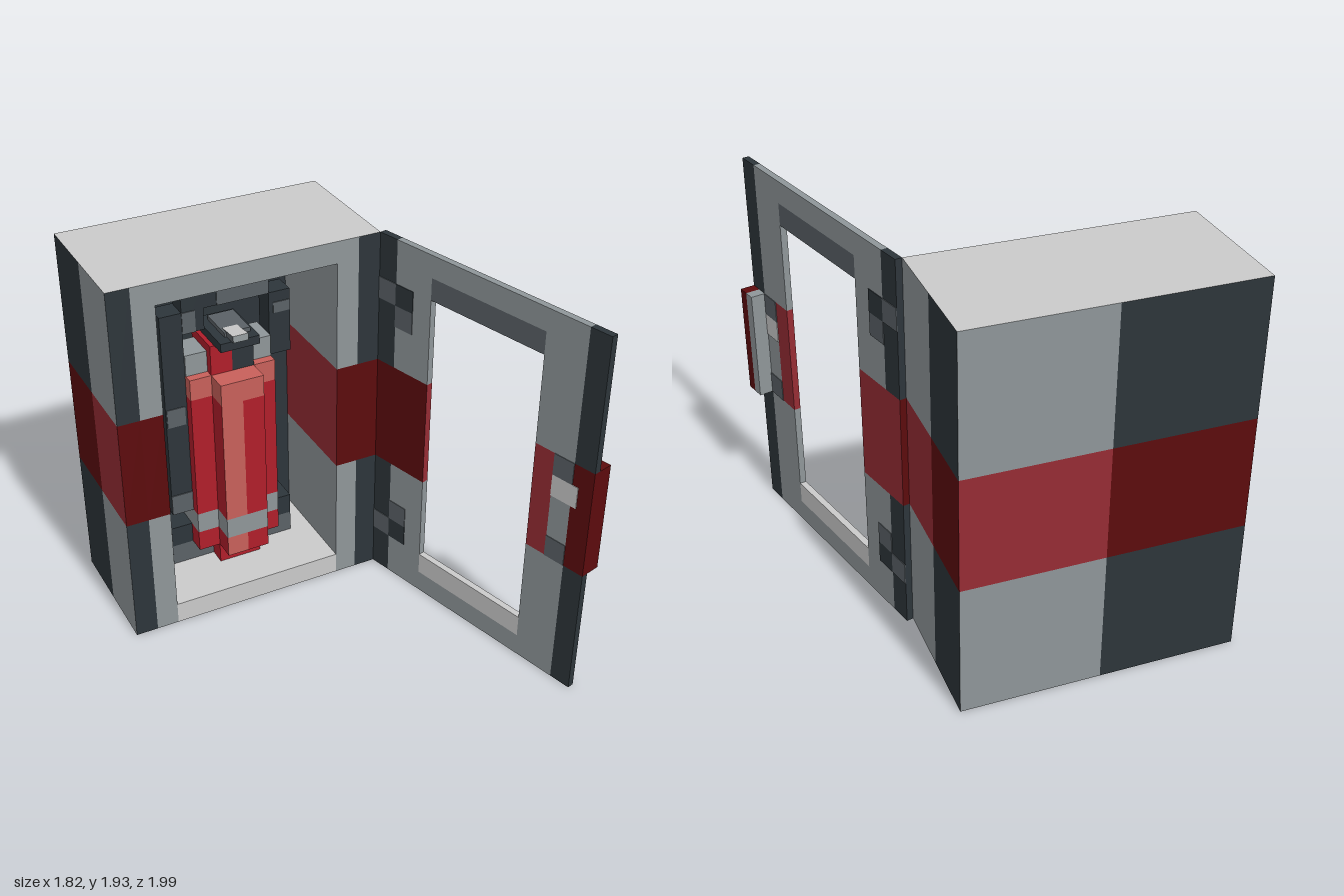
import * as THREE from 'three';

const U = 0.11335; // one modelling unit

const mat = (name, color) => {
  const m = new THREE.MeshStandardMaterial({ color });
  m.name = name;
  return m;
};

export function createModel() {
  const root = new THREE.Group();
  root.name = 'extinguisherCabinet';
  const G = mat('steelGrey', 0x8f9699), D = mat('darkSlate', 0x2d353a), M = mat('midGrey', 0x5a6166);
  const W = mat('paleGrey', 0xcacaca), R = mat('stripeRed', 0x962c34), K = mat('deepRed', 0x5c0b0d);
  const E = mat('bottleRed', 0xb01e2a), S = mat('highlightRed', 0xc8605a);

  // Box from its limits in units; m is one material or [+x,-x,+y,-y,+z,-z]
  const box = (parent, name, m, x0, x1, y0, y1, z0, z1) => {
    const g = new THREE.BoxGeometry((x1 - x0) * U, (y1 - y0) * U, (z1 - z0) * U);
    const mesh = new THREE.Mesh(g, m);
    mesh.position.set((x0 + x1) / 2 * U, (y0 + y1) / 2 * U, (z0 + z1) / 2 * U);
    mesh.name = name;
    parent.add(mesh);
    return mesh;
  };
  const group = (name, parent = root) => {
    const g = new THREE.Group();
    g.name = name;
    parent.add(g);
    return g;
  };

  // Cabinet shell: x 0..12, y 0..17, z 0..6, in three height bands
  const cabinet = group('cabinet');
  cabinet.position.set(-0.907, 0, -1);
  const bands = [[0, 6, false], [6, 11, true], [11, 17, false]];
  for (const [a, b, stripe] of bands) {
    const l = stripe ? R : G, d = stripe ? K : D, f = stripe ? K : G;
    box(cabinet, 'rightPostOuter', [l, l, W, W, d, l], 0, 1, a, b, 3, 6);
    box(cabinet, 'rightPostInner', [l, l, W, W, f, l], 1, 2, a, b, 3, 6);
    box(cabinet, 'rightWallRear', [l, d, W, W, l, d], 0, 2, a, b, 0, 3);
    box(cabinet, 'backPanelRight', [d, d, W, W, D, d], 2, 6, a, b, 0, 1);
    box(cabinet, 'backPanelLeft', [l, l, W, W, D, l], 6, 10, a, b, 0, 1);
    box(cabinet, 'leftPostInner', [l, l, W, W, f, l], 10, 11, a, b, 3, 6);
    box(cabinet, 'leftPostOuter', [l, l, W, W, d, l], 11, 12, a, b, 3, 6);
    box(cabinet, 'leftWallRear', [d, l, W, W, l, l], 10, 12, a, b, 0, 3);
  }
  box(cabinet, 'floor', W, 2, 10, 0, 1, 1, 6);
  box(cabinet, 'lintel', [G, G, W, G, G, G], 2, 10, 16, 17, 1, 6);

  // Extinguisher: plus-shaped bottle centred at x 6, z 3
  const bottle = group('extinguisher', cabinet);
  const layers = [[2, 3, E], [3, 4, G], [4, 10, E], [10, 11, S]];
  for (const [a, b, m] of layers) {
    const hi = m === E ? S : m;
    box(bottle, 'bottleSideLobes', m, 4, 8, a, b, 2, 4);
    box(bottle, 'bottleHighlight', [m, m, m, m, hi, m], 5, 6, a, b, 1.02, 5);
    box(bottle, 'bottleFront', m, 6, 7, a, b, 1.02, 5);
  }
  box(bottle, 'foot', E, 5, 7, 1, 2, 2, 4);
  box(bottle, 'collar', G, 4, 8, 11, 12, 2.2, 3.6);
  box(bottle, 'neckRed', E, 5, 6, 11, 12.4, 2, 4);
  box(bottle, 'neckDark', D, 6, 7, 11, 12.4, 2, 4);
  // Lever and grip
  box(bottle, 'grip', D, 5.2, 7, 12.4, 12.8, 2, 4.7);
  box(bottle, 'leverBase', M, 5.6, 6.8, 12.8, 13, 2.4, 4.2);
  const lever = box(bottle, 'lever', [M, M, W, M, G, M], 5.7, 6.4, 12.7, 13, 2.6, 4.9);
  lever.rotation.x = -0.12;

  // Hose arching over the bottle
  const hose = group('hose', cabinet);
  box(hose, 'hoseLong', D, 3, 4, 4, 14, 2.5, 3.5);
  box(hose, 'hoseShoulder', D, 4, 5, 13, 15, 2.5, 3.5);
  box(hose, 'hoseTop', D, 5, 8, 14, 15, 2.5, 3.5);
  box(hose, 'hoseShort', D, 8, 9, 11, 14, 2.5, 3.5);
  const glints = [[3, 4, 4, 5], [3.05, 3.9, 8.6, 9.5], [4, 4.6, 13, 14], [5.6, 8, 14, 15], [8.2, 9, 13, 13.5]];
  for (const [a, b, c, d] of glints) box(hose, 'hoseGlint', M, a, b, c, d, 3.5, 3.54);

  // Stand behind the foot
  box(cabinet, 'standLower', M, 3, 9, 1, 2, 1, 3.2);
  box(cabinet, 'standUpper', D, 3, 9, 2, 3, 1, 3.2);

  // Open door: local x runs from hinge to free edge, local -z is the outside
  const door = group('door');
  door.position.set(0.453, 0, -0.32);
  door.rotation.y = -THREE.MathUtils.degToRad(75);
  const T = 0.3;
  for (const [a, b, stripe] of bands) {
    const l = stripe ? R : G, d = stripe ? K : D;
    const inner = stripe ? K : G;
    box(door, 'hingeStile', [d, d, D, D, d, stripe ? R : D], 0, 1, a, b, -T, 0);
    box(door, 'hingeRail', [l, l, G, G, inner, l], 1, 3, a, b, -T, 0);
    box(door, 'latchRailInner', l, 9, 10, a, b, -T, 0);
    box(door, 'latchRailOuter', G, 10, 11, a, b, -T, 0);
    box(door, 'latchStile', d, 11, 12, a, b, -T, 0);
  }
  box(door, 'bottomRail', G, 3, 9, 0, 1, -T, 0);
  box(door, 'windowSill', W, 3, 9, 1, 2, -T, 0);
  box(door, 'windowHead', M, 3, 9, 15, 16, -T, 0);
  box(door, 'topRail', G, 3, 9, 16, 17, -T, 0);

  // Painted hinges on both door faces
  const paint = (name, m, a, b, c, d) => {
    box(door, name, m, a, b, c, d, -T - 0.03, -T);
    box(door, name, m, a, b, c, d, 0, 0.03);
  };
  for (const y of [2, 14]) {
    const flip = y === 14 ? 1 : 0;
    paint('hingeLeaf', M, 0, 1, y - 1 + 1 - flip + flip * 1, y + 1);
    paint('hingePinDark', D, 1, 2, y, y + 1);
    paint('hingePinGrey', M, 1, 2, y + (flip ? -1 : 1), y + (flip ? 0 : 2));
  }

  // Latch plate and handle
  paint('latchLight', W, 10, 11.3, 9, 10);
  paint('latchShadeUpper', M, 10, 11, 10, 11);
  paint('latchShadeLower', M, 10, 11, 6, 7);
  box(door, 'handleInner', G, 11, 11.5, 6, 11, -0.95, -T);
  box(door, 'handleGrip', K, 11.5, 12, 6, 11, -0.95, -T);

  return root;
}
